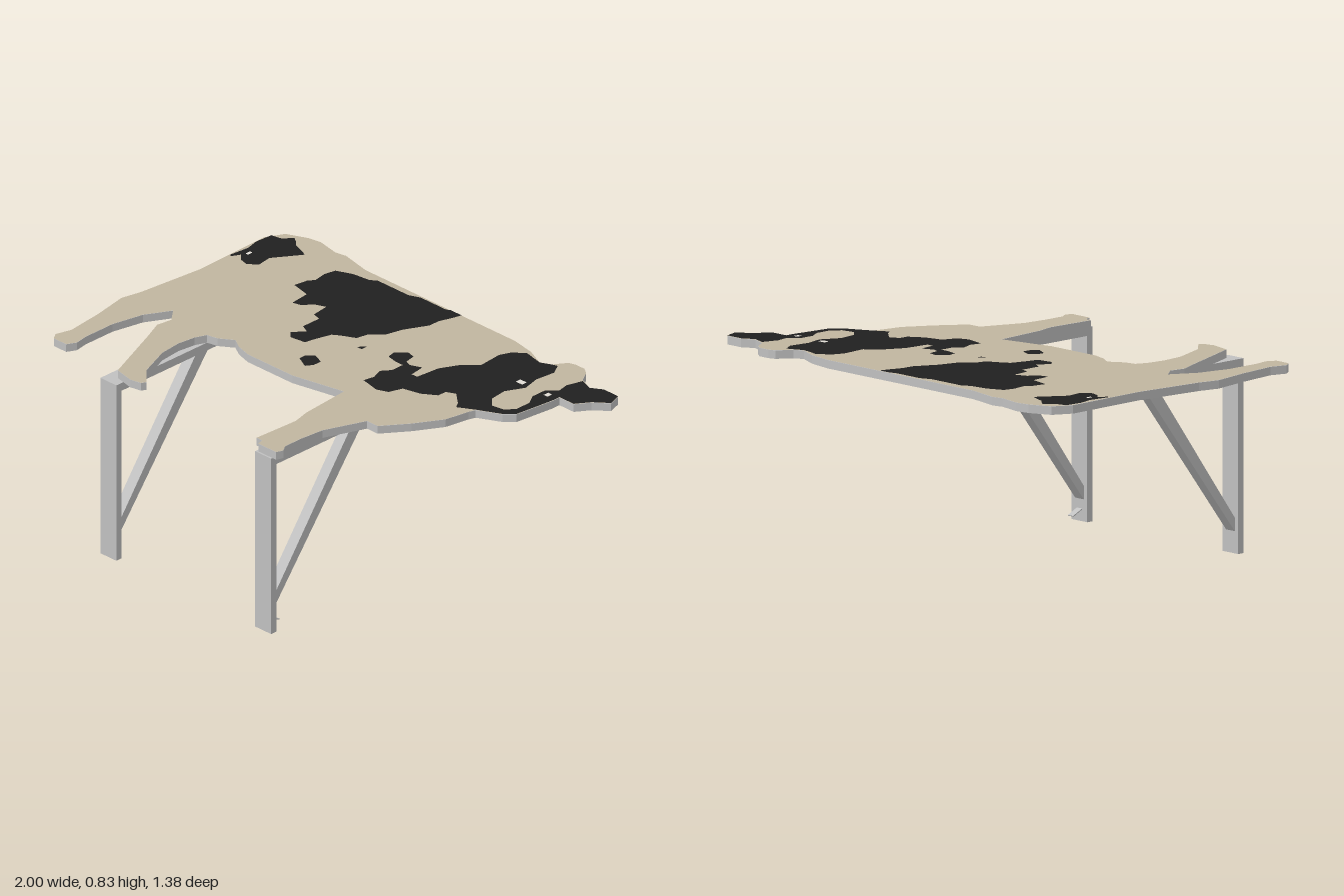
import * as THREE from 'three';

const grey = new THREE.MeshStandardMaterial({ color: 0xc0c0c0 });
grey.name = 'bracketGrey';
const tan = new THREE.MeshStandardMaterial({ color: 0xc0b59f });
tan.name = 'hideTan';
const black = new THREE.MeshStandardMaterial({ color: 0x202020 });
black.name = 'patchBlack';
const pale = new THREE.MeshStandardMaterial({ color: 0xe0dcd4 });
pale.name = 'speckPale';

// Flat x, z pairs, running round each outline
const cow = [
  -.92, -.64, -.83, -.68, -.77, -.69, -.67, -.67, -.62, -.68, -.48, -.65, .05, -.65, .36, -.65, .47, -.63,
  .56, -.59, .6, -.61, .64, -.67, .67, -.68, .72, -.68, .75, -.66, .78, -.61, .85, -.58, .9, -.61, .98, -.61,
  1, -.55, .94, -.5, .9, -.44, .82, -.44, .82, -.4, .8, -.22, .76, -.18, .66, -.13, .65, -.1, .63, .01,
  .56, .13, .48, .24, .42, .24, .35, .42, .34, .53, .34, .62, .36, .65, .35, .68, .25, .68, .24, .65,
  .21, .65, .22, .44, .2, .36, .18, .13, -.06, .18, -.31, .18, -.38, .16, -.43, .13, -.49, .17, -.54, .18,
  -.56, .23, -.57, .31, -.56, .41, -.5, .56, -.43, .63, -.44, .65, -.49, .66, -.58, .64, -.7, .35, -.74, .26,
  -.73, .19, -.78, .13, -.84, .24, -.87, .38, -.87, .53, -.86, .59, -.88, .63, -.95, .63, -.97, .6, -.95, .53,
  -.97, .36, -1, .2, -.98, .11, -.95, -.19, -.96, -.56,
];
const patches = {
  rumpPatch: [
    -.95, -.59, -.9, -.6, -.87, -.64, -.84, -.62, -.82, -.6, -.74, -.57, -.78, -.51, -.82, -.45, -.81, -.38,
    -.85, -.35, -.89, -.36, -.92, -.39, -.94, -.35, -.95, -.36, -.94, -.45, -.955, -.51,
  ],
  bodyPatch: [
    -.56, -.56, -.49, -.59, -.41, -.6, -.38, -.62, -.21, -.62, -.16, -.64, -.02, -.64, 0, -.65, .06, -.65,
    .05, -.61, .03, -.55, .03, -.5, -.02, -.4, -.04, -.32, -.09, -.27, -.1, -.22, -.16, -.19, -.19, -.17,
    -.21, -.1, -.22, -.05, -.29, -.04, -.32, -.07, -.28, -.12, -.32, -.14, -.32, -.23, -.36, -.24, -.37, -.32,
    -.42, -.3, -.45, -.26, -.49, -.25, -.5, -.34, -.59, -.36, -.58, -.42, -.56, -.45, -.57, -.51,
  ],
  bellyPatch: [-.14, .03, -.11, 0, -.06, .02, -.06, .06, -.08, .09, -.14, .06],
  smallSpot: [-.04, -.18, -.02, -.2, -.02, -.17, -.04, -.165],
  neckAndHeadPatch: [
    .09, -.24, .13, -.28, .17, -.27, .18, -.22, .21, -.21, .26, -.23, .27, -.16, .3, -.16, .31, -.27, .35, -.35,
    .41, -.41, .4, -.52, .42, -.57, .47, -.61, .51, -.6, .56, -.59, .6, -.61, .63, -.62, .66, -.57, .65, -.48,
    .67, -.4, .63, -.32, .64, -.24, .68, -.2, .74, -.21, .77, -.25, .77, -.32, .74, -.37, .74, -.44, .78, -.48,
    .77, -.53, .79, -.6, .85, -.58, .9, -.61, .98, -.61, 1, -.55, .94, -.5, .9, -.44, .82, -.44, .82, -.4,
    .8, -.22, .76, -.18, .66, -.13, .59, -.09, .57, -.12, .51, -.17, .47, -.15, .47, -.11, .41, -.07, .33, -.05,
    .31, .01, .26, .03, .17, .01, .18, -.04, .16, -.09, .19, -.13, .19, -.19, .15, -.19, .1, -.2,
  ],
};

function outline(flat) {
  const points = [];
  for (let i = 0; i < flat.length; i += 2) points.push(new THREE.Vector2(flat[i], -flat[i + 1]));
  return new THREE.Shape(points);
}

function add(parent, name, geometry, material, x = 0, y = 0, z = 0) {
  const mesh = new THREE.Mesh(geometry, material);
  mesh.name = name;
  mesh.position.set(x, y, z);
  parent.add(mesh);
  return mesh;
}

// Upward-facing painted area
function paint(parent, name, flat, material, y) {
  add(parent, name, new THREE.ShapeGeometry(outline(flat)).rotateX(-Math.PI / 2), material, 0, y, 0);
}

// Upright, rail and diagonal brace
function makeBracket(x) {
  const bracket = new THREE.Group();
  bracket.name = 'bracket';
  bracket.position.x = x;
  add(bracket, 'upright', new THREE.BoxGeometry(.09, .79, .03), grey, 0, .395, .673);
  add(bracket, 'rail', new THREE.BoxGeometry(.09, .035, 1.07), grey, 0, .7725, .123);
  // Brace profile is drawn in (-z, y), then turned to run across x
  const profile = new THREE.Shape([[-.658, .09], [-.145, .755], [-.215, .755], [-.658, .145]]
    .map(([a, b]) => new THREE.Vector2(a, b)));
  const brace = new THREE.ExtrudeGeometry(profile, { depth: .05, bevelEnabled: false });
  brace.translate(0, 0, -.025).rotateY(Math.PI / 2);
  add(bracket, 'brace', brace, grey);
  return bracket;
}

export function createModel() {
  const model = new THREE.Group();
  model.name = 'cowTable';

  // Cut-out top
  const slab = new THREE.ExtrudeGeometry(outline(cow), { depth: .034, bevelEnabled: false });
  add(model, 'tabletop', slab.rotateX(-Math.PI / 2), grey, 0, .79, 0);
  paint(model, 'hide', cow, tan, .825);
  for (const [name, flat] of Object.entries(patches)) paint(model, name, flat, black, .8265);

  // Pale specks on the head and rump
  for (const [x, z, w] of [[.625, -.42, .036], [.775, -.42, .022], [-.905, -.42, .014]]) {
    add(model, 'speck', new THREE.PlaneGeometry(w, .026).rotateX(-Math.PI / 2), pale, x, .828, z);
  }

  // Brackets, one with a small catch near its foot
  for (const x of [-.585, .285]) model.add(makeBracket(x));
  const catchPlate = add(model, 'catch', new THREE.BoxGeometry(.03, .004, .055), grey, .285, .038, .635);
  catchPlate.rotation.x = -.45;
  return model;
}
